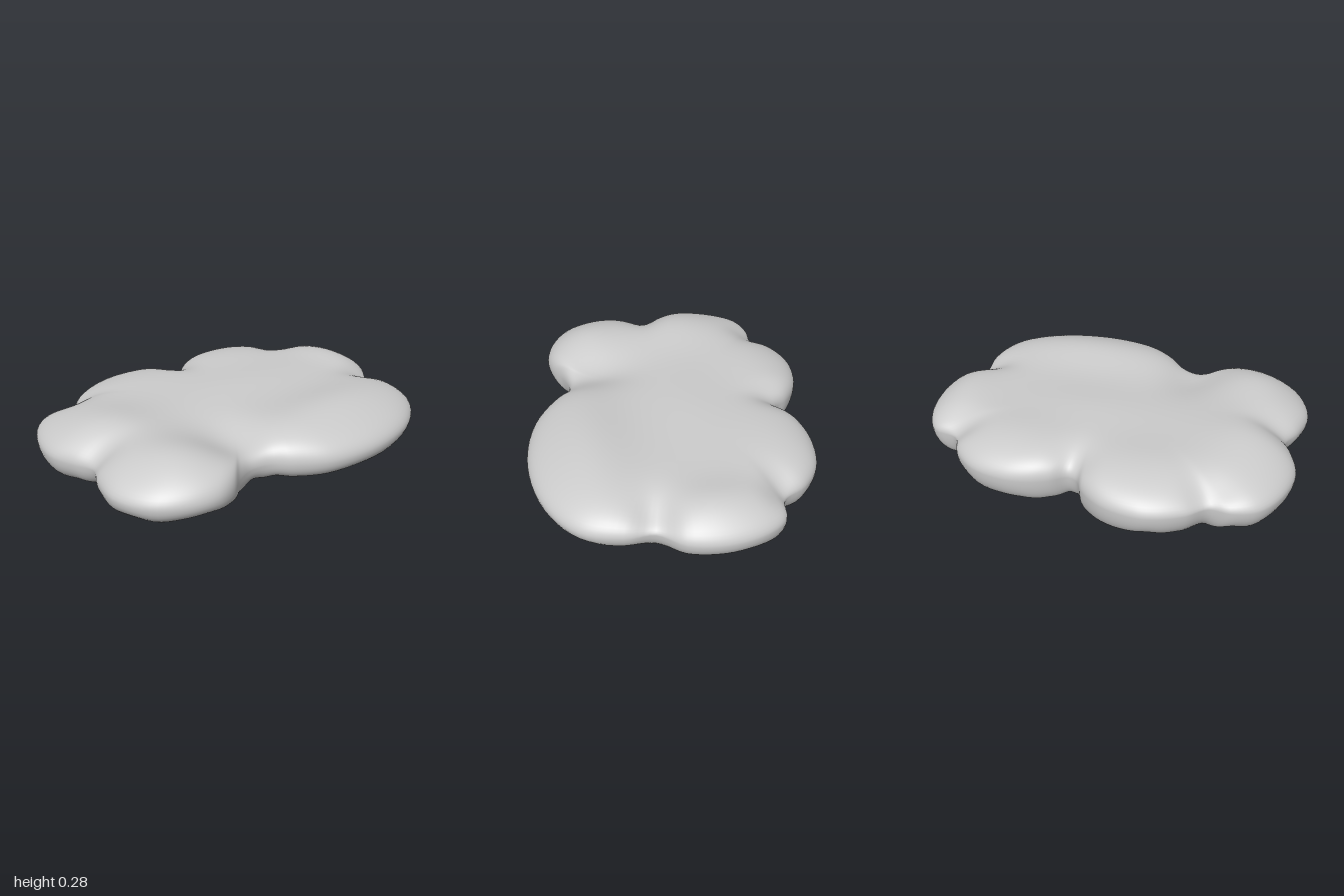
import * as THREE from 'three';
import { mergeVertices } from 'three/addons/utils/BufferGeometryUtils.js';

// Plan outline of the puffy shell as [x, z], starting at the left (+x) lobe
const OUTLINE = [
  [1, -0.1], [0.97, 0.08], [0.875, 0.21], [0.88, 0.36], [0.81, 0.56], [0.6, 0.71],
  [0.29, 0.775], [0, 0.73], [-0.17, 0.62], [-0.25, 0.54], [-0.35, 0.515], [-0.45, 0.545],
  [-0.54, 0.6], [-0.65, 0.62], [-0.8, 0.58], [-0.93, 0.48], [-1, 0.3], [-0.97, 0.13],
  [-0.915, 0.01], [-0.96, -0.1], [-1, -0.24], [-0.96, -0.43], [-0.87, -0.57], [-0.75, -0.62],
  [-0.64, -0.62], [-0.55, -0.7], [-0.43, -0.76], [-0.32, -0.78], [-0.15, -0.75], [-0.03, -0.67],
  [0.02, -0.6], [0.07, -0.585], [0.15, -0.64], [0.25, -0.68], [0.38, -0.695], [0.55, -0.66],
  [0.68, -0.56], [0.75, -0.44], [0.88, -0.41], [0.96, -0.3],
];

// Lobes (positive) and the hollows between them (negative): x, z, radius x, radius z, height
const SWELLS = [
  [0.3, 0.47, 0.5, 0.2, 0.042],
  [-0.72, 0.38, 0.22, 0.24, 0.052],
  [-0.75, -0.16, 0.24, 0.28, 0.045],
  [-0.33, -0.52, 0.28, 0.2, 0.018],
  [0.38, -0.46, 0.28, 0.2, 0.018],
  [0.84, -0.1, 0.14, 0.24, 0.035],
  [0.1, -0.12, 0.35, 0.2, 0.015],
  [-0.34, 0.42, 0.16, 0.25, -0.06],
  [-0.92, 0.02, 0.16, 0.1, -0.05],
  [-0.66, -0.62, 0.12, 0.12, -0.05],
  [0.05, -0.6, 0.1, 0.14, -0.05],
  [0.76, -0.43, 0.12, 0.1, -0.06],
  [0.87, 0.21, 0.15, 0.1, -0.065],
];

const topHeight = (x, z) => SWELLS.reduce(
  (y, [cx, cz, rx, rz, h]) => y + h * Math.exp(-(((x - cx) / rx) ** 2) - ((z - cz) / rz) ** 2),
  0.246,
);

export function createModel() {
  const group = new THREE.Group();
  group.name = 'cloudShell';

  const SEG = 200, SKIRT = 6, TOP = 26, MID = 0.12, CURL = 1.2;
  const curve = new THREE.CatmullRomCurve3(
    OUTLINE.map(([x, z]) => new THREE.Vector3(x, 0, z)), true);
  const rings = SKIRT + TOP;
  const positions = [], indices = [];

  for (let j = 0; j <= rings; j++) {
    for (let i = 0; i < SEG; i++) {
      const p = curve.getPoint(i / SEG);
      let f, y;
      if (j < SKIRT) {
        // Side curling under to an uneven open lower edge
        const a = (1 - j / SKIRT) * CURL;
        const k = i / SEG * Math.PI * 2;
        const jag = 0.005 * Math.sin(9 * k + 2) + 0.005 * Math.sin(17 * k) * Math.sin(5 * k)
          + 0.004 * Math.sin(31 * k + 1) * Math.sin(3 * k);
        const bottom = Math.max(0, 0.021 + 0.025 * p.z + jag);
        f = 1 - (0.1 + 0.03 * p.z) * (1 - Math.cos(a));
        y = MID - (MID - bottom) * Math.sin(a) / Math.sin(CURL);
        p.multiplyScalar(f);
      } else {
        // Rounded shoulder running into the soft top, the outline easing into an oval inwards
        const u = (j - SKIRT) / TOP;
        f = 1 - u * u;
        const oval = 1 / Math.hypot(p.x / 0.93, p.z / 0.7);
        p.multiplyScalar(f * (oval + (1 - oval) * f * f));
        y = MID + (topHeight(p.x, p.z) - MID) * Math.sqrt(1 - f ** 7);
      }
      positions.push(p.x, y, p.z);

      if (j < rings) {
        const a = j * SEG + i, b = j * SEG + (i + 1) % SEG;
        indices.push(a, a + SEG, b);
        if (j < rings - 1) indices.push(b, a + SEG, b + SEG);
      }
    }
  }

  const raw = new THREE.BufferGeometry();
  raw.setAttribute('position', new THREE.Float32BufferAttribute(positions, 3));
  raw.setIndex(indices);
  const geometry = mergeVertices(raw, 1e-5);
  geometry.computeVertexNormals();

  const shell = new THREE.Mesh(geometry, new THREE.MeshStandardMaterial({
    color: 0xcccccc, side: THREE.DoubleSide,
  }));
  shell.name = 'puffyShell';
  group.add(shell);
  return group;
}
